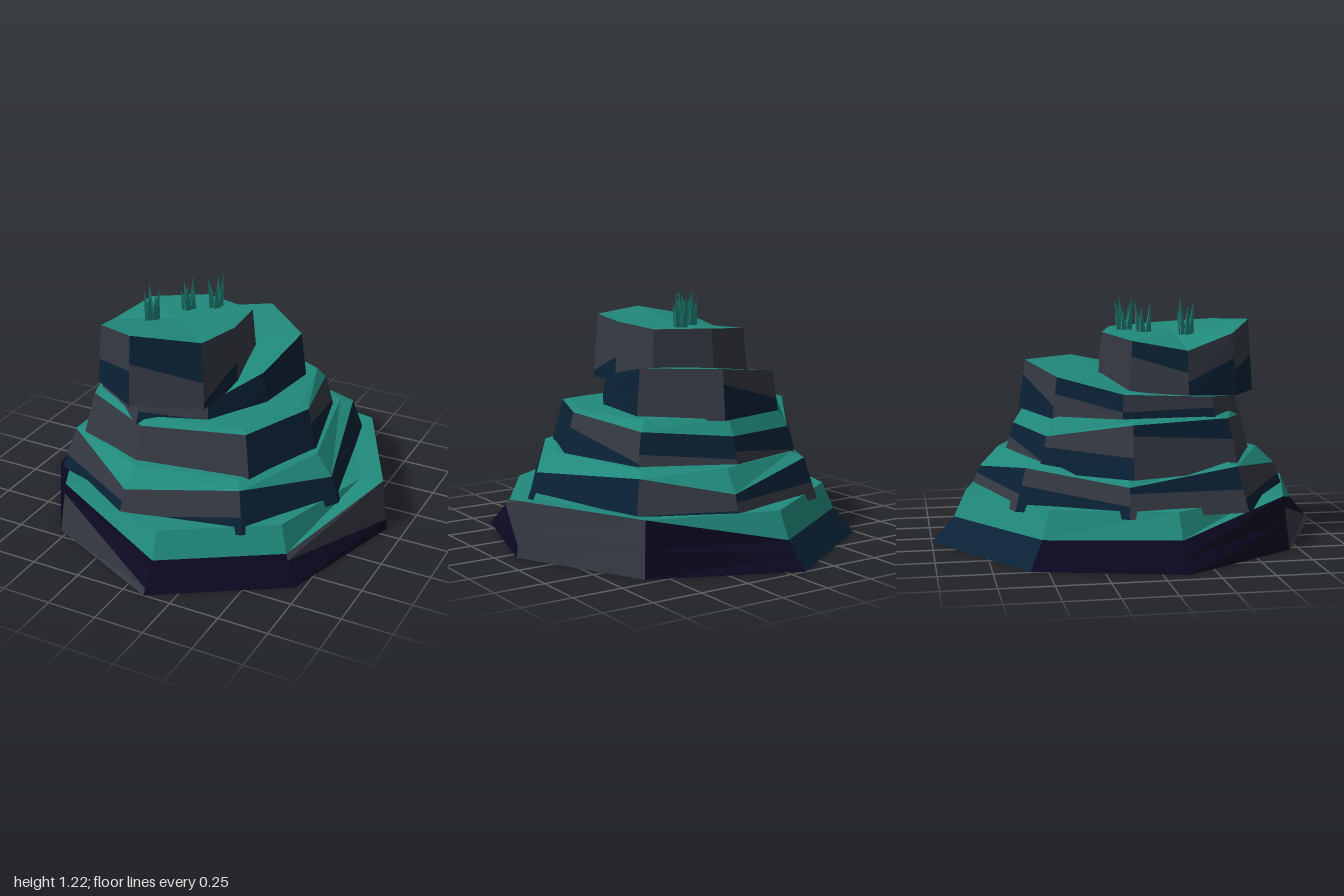
import * as THREE from 'three';

const mat = (name, color) => {
  const m = new THREE.MeshStandardMaterial({ color, flatShading: true });
  m.name = name;
  return m;
};

// Gathers triangles for one material.
function facesMesh(name, points, material) {
  const g = new THREE.BufferGeometry();
  g.setAttribute('position', new THREE.Float32BufferAttribute(points.flatMap((p) => p.toArray()), 3));
  g.computeVertexNormals();
  const mesh = new THREE.Mesh(g, material);
  mesh.name = name;
  return mesh;
}

// Tapered slab. Rim corners are [x, z, lift], starting at the back and passing +x first.
// floor and roof are [height at its middle, slope toward +z]; cap is the middle of the top.
// shoulder is the [scale, height] of an inner ring that mossy flanks climb to.
// Walls are 'lower colour, upper colour, split height at each end in tenths'.
function rockLayer(materials, { name, rim, walls, floor, roof, cap, taper, flare = 0, shoulder }) {
  const n = rim.length;
  const cx = rim.reduce((s, p) => s + p[0], 0) / n;
  const cz = rim.reduce((s, p) => s + p[1], 0) / n;
  const scaled = (x, z, s, y) => new THREE.Vector3(cx + (x - cx) * s, y, cz + (z - cz) * s);
  const low = rim.map(([x, z]) => scaled(x, z, 1, floor[0] + floor[1] * (z - cz)));
  const high = rim.map(([x, z, lift = 0]) =>
    scaled(x, z, taper + flare * lift, roof[0] + roof[1] * (z - cz) + lift));
  const inner = shoulder ? rim.map(([x, z]) => scaled(x, z, ...shoulder)) : high;
  const top = new THREE.Vector3(cx, cap, cz);
  const under = new THREE.Vector3(cx, floor[0], cz);
  const faces = { g: [], n: [], d: [], t: [] };

  for (let i = 0; i < n; i++) {
    const j = (i + 1) % n;
    const [lower, upper, hi, hj] = walls[i];
    const mi = low[i].clone().lerp(high[i], hi / 10);
    const mj = low[j].clone().lerp(high[j], hj / 10);
    // Wall in two sloping bands of colour
    faces[lower].push(low[j], low[i], mi, low[j], mi, mj);
    faces[upper].push(mj, mi, high[i], mj, high[i], high[j]);
    // Mossy flank and top, dark underside
    if (shoulder) faces.t.push(high[j], high[i], inner[i], high[j], inner[i], inner[j]);
    faces.t.push(top, inner[j], inner[i]);
    faces.d.push(under, low[i], low[j]);
  }

  const group = new THREE.Group();
  group.name = name;
  const labels = { g: 'greyWalls', n: 'navyWalls', d: 'deepFaces', t: 'mossTop' };
  for (const key in faces) {
    if (faces[key].length) group.add(facesMesh(labels[key], faces[key], materials[key]));
  }
  return group;
}

// Tuft of pointed blades leaning outward
function grassTuft(x, y, z, blades, size, material) {
  const tuft = new THREE.Group();
  tuft.name = 'grassTuft';
  for (let i = 0; i < blades; i++) {
    const h = size * (i % 2 ? 0.75 : 1) * (1 - 0.03 * i);
    const geo = new THREE.ConeGeometry(0.021, h, 3).translate(0, h / 2, 0);
    const blade = new THREE.Mesh(geo, material);
    blade.name = 'grassBlade';
    const a = (i / blades) * Math.PI * 2 + x * 9;
    blade.position.set(Math.cos(a) * 0.02, 0, Math.sin(a) * 0.024);
    blade.rotation.set(Math.sin(a) * 0.12, 0, -Math.cos(a) * 0.12);
    tuft.add(blade);
  }
  tuft.position.set(x, y, z);
  return tuft;
}

export function createModel() {
  const model = new THREE.Group();
  model.name = 'rockyHill';
  const materials = {
    g: mat('grey rock', 0x343842),
    n: mat('navy rock', 0x0a2135),
    d: mat('deep rock', 0x0b0820),
    t: mat('teal moss', 0x20897b),
  };

  model.add(rockLayer(materials, {
    name: 'baseRock', floor: [0, 0], roof: [0.125, 0], cap: 0.27, taper: 0.89, flare: 0.5, shoulder: [0.83, 0.255],
    rim: [[-0.08, -1], [0.6, -0.7, 0.14], [0.91, -0.06, 0.145], [0.71, 0.62],
      [0.11, 1], [-0.54, 0.7, 0.135], [-0.92, 0.12, 0.01], [-0.74, -0.58]],
    walls: ['dd55', 'gg55', 'dg28', 'dd55', 'gd28', 'dd55', 'dd55', 'nn55'],
  }));
  model.add(rockLayer(materials, {
    name: 'lowerLedge', floor: [0.22, 0], roof: [0.42, 0], cap: 0.47, taper: 0.91, flare: -0.4, shoulder: [0.82, 0.445],
    rim: [[0.14, -0.79, -0.08], [0.57, -0.58], [0.73, 0.16, -0.07], [0.44, 0.64],
      [-0.15, 0.78, -0.06], [-0.67, 0.46, 0.01], [-0.73, -0.12, -0.06], [-0.46, -0.62]],
    walls: ['ng42', 'nn55', 'nn55', 'ng41', 'ng63', 'gn58', 'ng46', 'gn47'],
  }));
  model.add(rockLayer(materials, {
    name: 'middleLedge', floor: [0.4, 0], roof: [0.645, 0], cap: 0.67, taper: 0.9, flare: -0.3, shoulder: [0.84, 0.655],
    rim: [[0.03, -0.63, -0.07], [0.46, -0.42, -0.04], [0.58, 0.08], [0.41, 0.5],
      [-0.16, 0.6, -0.03], [-0.55, 0.44], [-0.72, -0.1], [-0.42, -0.5, -0.08]],
    walls: ['gn45', 'ng37', 'nn55', 'gg55', 'gg55', 'gn68', 'ng47', 'gn36'],
  }));
  model.add(rockLayer(materials, {
    name: 'upperLedge', floor: [0.63, -0.03], roof: [0.8, -0.16], cap: 0.83, taper: 0.94,
    rim: [[0.05, -0.55], [0.36, -0.26, 0.04], [0.32, 0.12, 0.03], [0.15, 0.42],
      [-0.18, 0.54], [-0.5, 0.34], [-0.54, -0.12, -0.05], [-0.36, -0.43, -0.03]],
    walls: ['gg55', 'nn55', 'nn55', 'ng36', 'gg55', 'ng64', 'gn46', 'ng37'],
  }));
  model.add(rockLayer(materials, {
    name: 'summitRock', floor: [0.76, -0.05], roof: [1.06, 0.06], cap: 1.04, taper: 0.94,
    rim: [[-0.15, -0.18], [0.16, -0.09], [0.2, 0.2], [0.16, 0.48],
      [-0.18, 0.6, 0.01], [-0.44, 0.45, -0.03], [-0.52, 0.2, -0.09], [-0.44, -0.07, -0.03]],
    walls: ['gg55', 'gg55', 'ng41', 'gn46', 'ng54', 'ng63', 'gn57', 'gg55'],
  }));

  model.add(grassTuft(-0.255, 1.03, 0.24, 7, 0.18, materials.t));
  model.add(grassTuft(-0.155, 1.03, 0.05, 5, 0.17, materials.t));
  model.add(grassTuft(-0.045, 1.03, -0.03, 5, 0.19, materials.t));
  return model;
}
